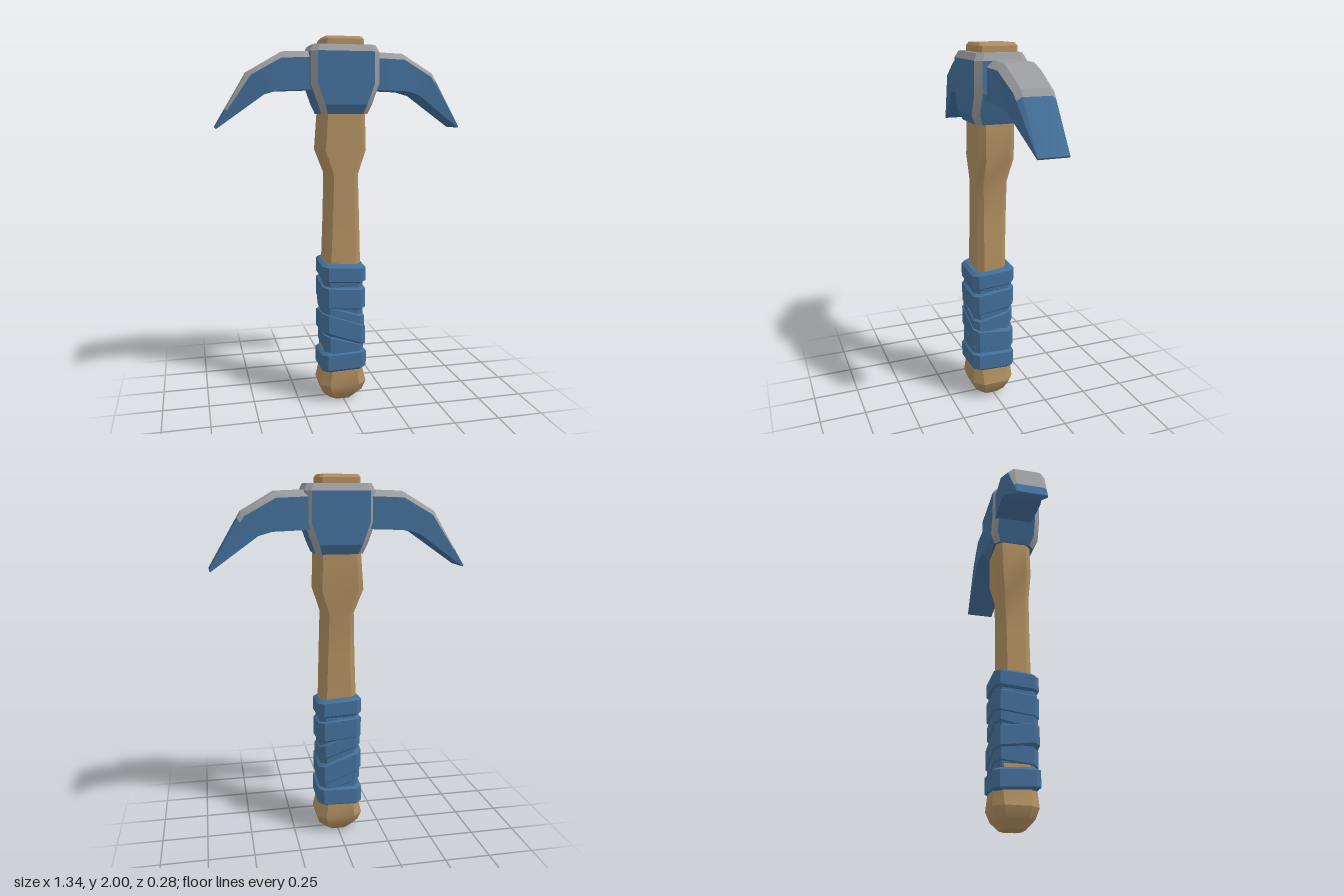
import * as THREE from 'three';
import { toCreasedNormals } from 'three/addons/utils/BufferGeometryUtils.js';

const material = (name, color) => {
  const m = new THREE.MeshStandardMaterial({ color });
  m.name = name;
  return m;
};

// Skin a list of equal-length rings (counter-clockwise seen from the far end) and cap both ends.
// pick(segment, side) gives the material index of each face; caps use segments -1 and rings.length - 1.
function loft(name, rings, mats, pick = () => 0, crease = 0.55) {
  const buckets = mats.map(() => []);
  const tri = (k, ...pts) => pts.forEach((p) => buckets[k].push(...p));
  const n = rings[0].length;
  const last = rings.length - 1;
  for (let i = 0; i < last; i++) {
    for (let j = 0; j < n; j++) {
      const k = (j + 1) % n;
      const [a, b, c, d] = [rings[i][j], rings[i][k], rings[i + 1][k], rings[i + 1][j]];
      tri(pick(i, j), a, b, c);
      tri(pick(i, j), a, c, d);
    }
  }
  for (let j = 1; j < n - 1; j++) {
    tri(pick(-1, 0), rings[0][0], rings[0][j + 1], rings[0][j]);
    tri(pick(last, 0), rings[last][0], rings[last][j], rings[last][j + 1]);
  }
  let geo = new THREE.BufferGeometry();
  geo.setAttribute('position', new THREE.Float32BufferAttribute(buckets.flat(), 3));
  geo = toCreasedNormals(geo, crease);
  let start = 0;
  buckets.forEach((b, k) => {
    if (b.length) geo.addGroup(start, b.length / 3, k);
    start += b.length / 3;
  });
  const mesh = new THREE.Mesh(geo, mats);
  mesh.name = name;
  return mesh;
}

// Horizontal rectangle with cut corners; odd sides are the corner cuts.
function cutRect(y, hx, hz, c, cx = 0, cz = 0, tiltX = 0, tiltZ = 0) {
  return [
    [hx, hz - c], [hx, c - hz], [hx - c, -hz], [c - hx, -hz],
    [-hx, c - hz], [-hx, hz - c], [c - hx, hz], [hx - c, hz],
  ].map(([x, z]) => [cx + x, y + tiltX * x + tiltZ * z, cz + z]);
}

export function createModel() {
  const wood = material('wood', 0xb08f60);
  const blue = material('blue', 0x436f99);
  const grey = material('grey', 0x9a9c9f);
  const model = new THREE.Group();
  model.name = 'pickaxe';

  // Handle: pommel, shaft, shoulder and the stub above the head [y, halfX, halfZ, cut, centreX, centreZ]
  const handle = [
    [0, 0.065, 0.06, 0.03, -0.005, 0.01],
    [0.045, 0.112, 0.1, 0.045, -0.005, 0.01],
    [0.1, 0.132, 0.12, 0.05, -0.005, 0.01],
    [0.19, 0.11, 0.112, 0.04, -0.005, 0.01],
    [0.78, 0.1, 0.082, 0.03, -0.005, 0.015],
    [1.05, 0.091, 0.083, 0.03, -0.003, 0.012],
    [1.28, 0.084, 0.087, 0.03, -0.003, 0.008],
    [1.41, 0.129, 0.098, 0.03, -0.005, -0.002],
    [1.61, 0.118, 0.1, 0.03, 0, -0.004],
    [1.93, 0.106, 0.105, 0.014, 0, -0.011],
    [1.985, 0.106, 0.105, 0.014, 0, -0.011],
    [2, 0.095, 0.094, 0.014, 0, -0.011],
  ].map((s) => cutRect(...s));
  model.add(loft('handle', handle, [wood]));

  // Grip: a core with overlapping slanted bands [bottom, top, halfX, halfZ, tiltX, tiltZ]
  const grip = new THREE.Group();
  grip.name = 'grip';
  [
    [0.2, 0.77, 0.108, 0.11, 0, 0],
    [0.18, 0.295, 0.126, 0.124, 0.03, 0.05],
    [0.27, 0.385, 0.113, 0.115, -0.3, -0.1],
    [0.35, 0.48, 0.121, 0.122, -0.36, 0.12],
    [0.46, 0.565, 0.115, 0.117, -0.34, -0.2],
    [0.55, 0.685, 0.12, 0.121, -0.08, -0.12],
    [0.65, 0.72, 0.111, 0.113, 0.12, 0.1],
    [0.695, 0.8, 0.121, 0.122, -0.06, -0.08],
  ].forEach(([y0, y1, hx, hz, tx, tz], i) => {
    const ring = (y, inset) => cutRect(y, hx - inset, hz - inset, 0.03, -0.005, 0.012, tx, tz);
    const rings = [ring(y0, 0.016), ring(y0 + 0.015, 0), ring(y1 - 0.015, 0), ring(y1, 0.016)];
    grip.add(loft(i ? `wrapBand${i}` : 'wrapCore', rings, [blue]));
  });
  model.add(grip);

  // Head block: blue faces, grey corner cuts and top
  const block = [
    [1.6, 0.125, 0.115, 0.03],
    [1.65, 0.145, 0.14, 0.033],
    [1.76, 0.185, 0.14, 0.033],
    [1.92, 0.183, 0.14, 0.033],
    [1.955, 0.167, 0.12, 0.03],
  ].map((s) => cutRect(...s));
  model.add(loft('headBlock', block, [blue, grey], (i, j) => (i >= 3 || (i >= 0 && j % 2) ? 1 : 0), 0.3));

  // Blades: sections of [topX, topY, bottomX, bottomY, backZ, frontZ, cut]
  const sections = [
    [0.15, 1.925, 0.15, 1.727, -0.125, 0.085, 0.035],
    [0.325, 1.918, 0.35, 1.72, -0.134, 0.088, 0.035],
    [0.5, 1.817, 0.42, 1.7, -0.13, 0.075, 0.03],
    [0.67, 1.533, 0.665, 1.525, -0.128, 0.033, 0.004],
  ];
  const blade = (name, side, edgeStart) => {
    // Extra section where the painted cutting edge begins
    const edge = sections[2].map((v, k) => THREE.MathUtils.lerp(v, sections[3][k], edgeStart));
    const rings = [...sections.slice(0, 3), edge, sections[3]].map(([tx, ty, bx, by, z0, z1, c]) => {
      const sx = THREE.MathUtils.lerp(tx, bx, 0.17);
      const sy = THREE.MathUtils.lerp(ty, by, 0.17);
      const ring = [
        [bx, by, z0], [sx, sy, z0], [tx, ty, z0 + c],
        [tx, ty, z1 - c], [sx, sy, z1], [bx, by, z1],
      ].map(([x, y, z]) => [side * x, y, z]);
      return side < 0 ? ring.reverse() : ring;
    });
    return loft(name, rings, [blue, grey], (i, j) => (i >= 0 && i < 3 && j >= 1 && j <= 3 ? 1 : 0), 0.45);
  };
  model.add(blade('leftBlade', 1, 0.12), blade('rightBlade', -1, 0.68));

  return model;
}
